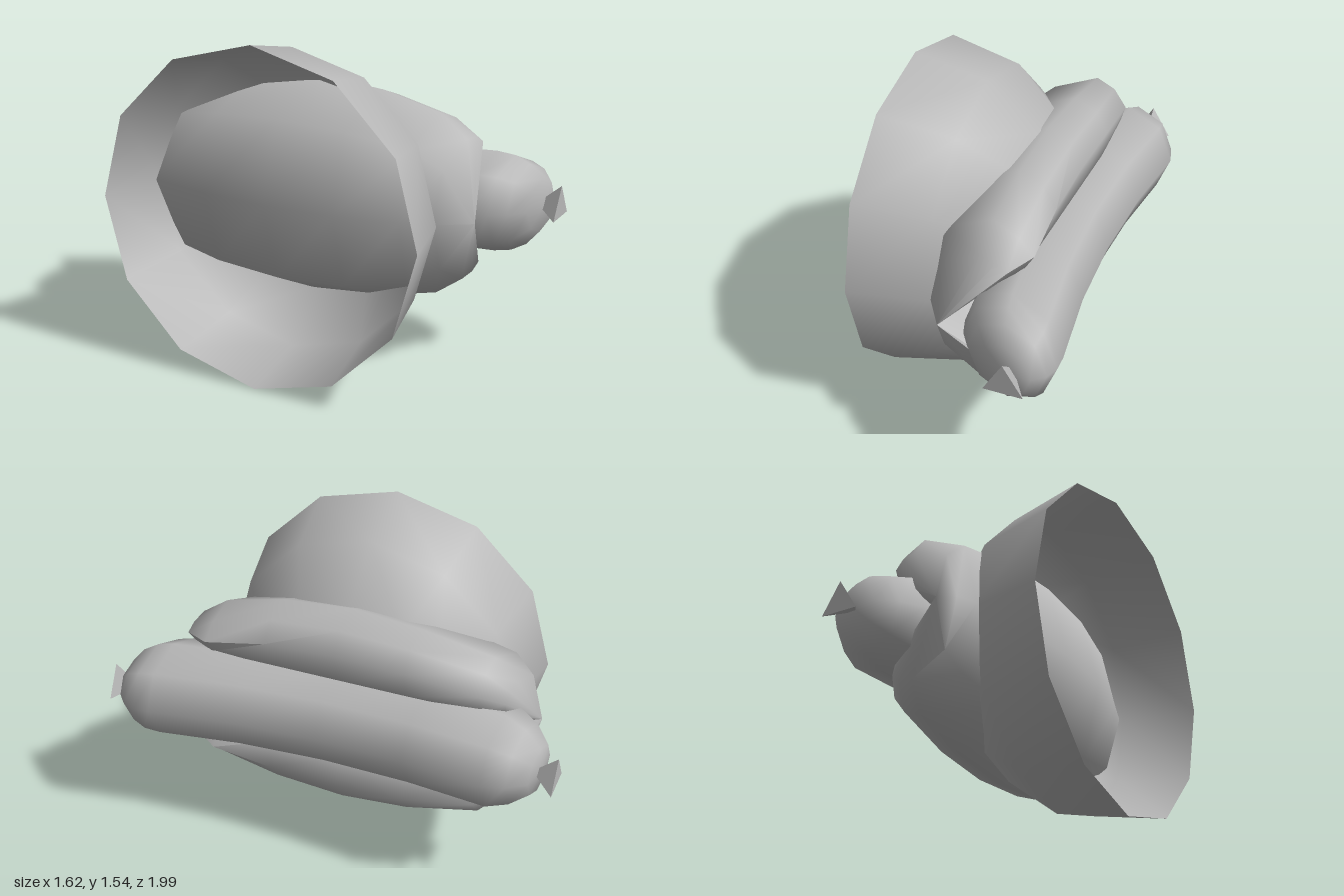
import * as THREE from 'three';
import { mergeVertices, toCreasedNormals } from 'three/addons/utils/BufferGeometryUtils.js';

const V2 = (a) => a.map(([x, y]) => new THREE.Vector2(x, y));

// weld the seams, then shade smoothly up to the crease angle
function smooth(geo, crease) {
  geo.deleteAttribute('normal');
  geo.deleteAttribute('uv');
  return toCreasedNormals(mergeVertices(geo, 1e-4), crease);
}

const SLANT = 0.15; // cross-sections of sausage and bun lean forward on the outer side

export function createModel() {
  const grey = new THREE.MeshStandardMaterial({ color: 0xb8b8b8, side: THREE.DoubleSide });
  grey.name = 'plain grey';
  const model = new THREE.Group();
  model.name = 'sausageHat';
  // local axes: z runs along the sausage, x points away from the cap's opening
  const body = new THREE.Group();
  body.name = 'body';
  body.rotation.y = 0.4236;
  body.position.y = 0.765;
  model.add(body);
  const add = (name, geo) => {
    const mesh = new THREE.Mesh(geo, grey);
    mesh.name = name;
    body.add(mesh);
    return mesh;
  };

  // open twelve-sided cap
  const cap = new THREE.LatheGeometry(V2([[0.768, -0.557], [0.695, -0.215], [0.49, 0.04], [0.25, 0.13], [0, 0.16]]), 12);
  cap.rotateZ(-Math.PI / 2);
  add('cap', smooth(cap, 1.1)).position.z = 0.056;

  // sausage: a rounded eight-sided tube bent slightly outwards at the ends
  const profile = [
    [0, -0.895], [0.115, -0.885], [0.185, -0.81], [0.228, -0.715], [0.23, -0.35], [0.23, 0.06],
    [0.23, 0.46], [0.232, 0.84], [0.22, 0.915], [0.185, 0.98], [0.12, 1.035], [0, 1.045],
  ];
  const sausage = new THREE.LatheGeometry(V2(profile), 8);
  sausage.rotateX(Math.PI / 2);
  const p = sausage.attributes.position;
  for (let i = 0; i < p.count; i++) {
    const x = p.getX(i), z = p.getZ(i);
    p.setXYZ(i, x + 0.14 + 0.015 * z + 0.105 * z * z, p.getY(i), z + SLANT * x);
  }
  add('sausage', smooth(sausage, 1.2));

  // three-sided knots at both ends, points towards the sausage
  for (const [name, x, z, dir] of [['frontKnot', 0.295, 1.06, 1], ['backKnot', 0.225, -0.915, -1]]) {
    const corners = [0, 1, 2].map((i) => {
      const a = Math.PI / 2 + i * 2 * Math.PI / 3;
      return [0.1 * Math.cos(a) * dir, 0.095 * Math.sin(a), 0.055 * dir];
    });
    const [a, b, c] = corners;
    const tip = [0, 0, -0.055 * dir];
    const geo = new THREE.BufferGeometry();
    geo.setAttribute('position', new THREE.Float32BufferAttribute(
      [a, b, c, b, a, tip, c, b, tip, a, c, tip].flat(2), 3));
    geo.computeVertexNormals();
    add(name, geo).position.set(x, 0, z);
  }

  // bun: grooved cross-sections; each row is z, then x/y of back, flank, crown, brow, shoulder, lip, groove
  const point = (x) => Array(7).fill([x, 0]);
  const rows = [
    [-0.78, ...point(-0.14)],
    [-0.72, [-0.21, 0], [-0.15, 0.22], [0.03, 0.3], [0.1, 0.29], [0.14, 0.25], [0.12, 0.18], [-0.1, 0]],
    [-0.625, [-0.25, 0], [-0.18, 0.3], [0.05, 0.415], [0.14, 0.38], [0.2, 0.3], [0.17, 0.2], [-0.08, 0]],
    [-0.3, [-0.31, 0], [-0.22, 0.35], [0.06, 0.485], [0.17, 0.44], [0.225, 0.35], [0.2, 0.22], [-0.08, 0]],
    [0.02, [-0.33, 0], [-0.23, 0.37], [0.06, 0.515], [0.175, 0.465], [0.23, 0.365], [0.2, 0.22], [-0.08, 0]],
    [0.35, [-0.31, 0], [-0.22, 0.35], [0.06, 0.485], [0.175, 0.44], [0.235, 0.35], [0.2, 0.22], [-0.08, 0]],
    [0.63, [-0.25, 0], [-0.18, 0.3], [0.06, 0.415], [0.18, 0.37], [0.25, 0.3], [0.2, 0.22], [-0.08, 0]],
    [0.76, [-0.2, 0], [-0.14, 0.22], [0.05, 0.32], [0.13, 0.31], [0.18, 0.28], [0.14, 0.22], [-0.1, 0]],
    [0.892, ...point(-0.1)],
  ];
  const pos = [], index = [], last = rows.length - 1;
  rows.forEach(([z, ...half], j) => {
    const ring = [...half.map(([x, y]) => [x, -y]), ...half.slice(1, -1).reverse()];
    const n = ring.length;
    ring.forEach(([x, y], i) => {
      pos.push(x, y, z + SLANT * x);
      const a = j * n + i, b = j * n + (i + 1) % n;
      // pointed ends need only one triangle per side
      if (j < last - 1) index.push(b, b + n, a + n);
      if (j > 0 && j < last) index.push(a, b, a + n);
    });
  });
  const bun = new THREE.BufferGeometry();
  bun.setAttribute('position', new THREE.Float32BufferAttribute(pos, 3));
  bun.setIndex(index);
  add('bun', smooth(bun, 1.1));

  return model;
}
